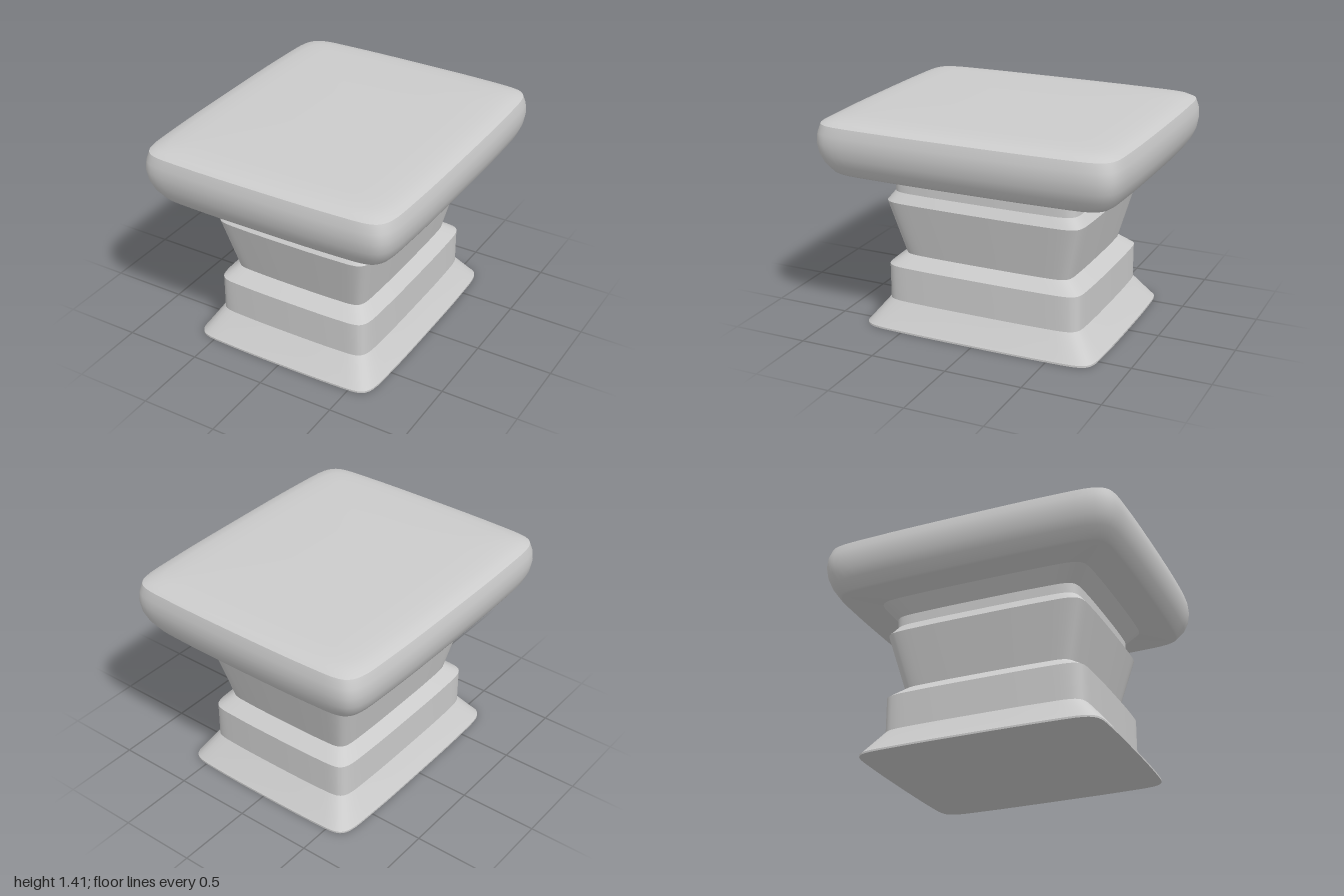
import * as THREE from 'three';
import { toCreasedNormals } from 'three/addons/utils/BufferGeometryUtils.js';

// Unit outline: a slightly bowed rectangle with rounded corners, as fractions of the half sizes
const quarter = [[1, 0], [0.993, 0.6], [0.97, 0.88], [0.93, 0.945], [0.865, 0.976], [0.62, 0.993]];
const corners = [];
for (const [x, z] of quarter) corners.push([x, z]);
corners.push([0, 1]);
for (let i = quarter.length - 1; i > 0; i--) corners.push([-quarter[i][0], quarter[i][1]]);
const half = corners.map(([x, z]) => [-x, -z]);
const outline = new THREE.CatmullRomCurve3(
  [...corners, ...half].map(([x, z]) => new THREE.Vector3(x, 0, z)), true).getPoints(96).slice(0, 96);

// Skins rings of [y, half width, half depth], from bottom to top
function loft(rings, crease) {
  const n = outline.length, positions = [], index = [];
  for (const [y, hx, hz] of rings)
    for (const p of outline) positions.push(p.x * hx, y, p.z * hz);
  for (let j = 0; j < rings.length - 1; j++)
    for (let i = 0; i < n; i++) {
      const k = (i + 1) % n;
      const a = j * n + i, b = a + n, c = (j + 1) * n + k, d = j * n + k;
      if (rings[j + 1][1] > 0) index.push(a, b, c);
      if (rings[j][1] > 0) index.push(a, c, d);
    }
  const geometry = new THREE.BufferGeometry();
  geometry.setAttribute('position', new THREE.Float32BufferAttribute(positions, 3));
  geometry.setIndex(index);
  return toCreasedNormals(geometry, crease);
}

export function createModel() {
  const group = new THREE.Group();
  const material = new THREE.MeshStandardMaterial({ color: 0xcccccc });
  const add = (name, geometry) => {
    const mesh = new THREE.Mesh(geometry, material);
    mesh.name = name;
    group.add(mesh);
  };

  // Pedestal: flared foot, plinth, tapered waist and neck
  const pedestal = [
    [0, 0, 0], [0, 0.648, 0.797], [0.012, 0.648, 0.797], [0.025, 0.638, 0.785],
    [0.17, 0.545, 0.67], [0.4, 0.545, 0.67], [0.47, 0.47, 0.577],
    [0.83, 0.548, 0.673], [0.89, 0.51, 0.628], [0.955, 0.51, 0.628], [1.055, 0.582, 0.715],
  ];
  add('pedestal', loft(pedestal, 0.45));

  // Cushion seat: same depth margin at every level, softly crowned top
  const cushion = [
    [1.05, 0.78], [1.06, 0.793], [1.12, 0.833], [1.18, 0.856], [1.25, 0.866], [1.31, 0.861],
    [1.365, 0.845], [1.385, 0.81], [1.397, 0.75], [1.403, 0.66], [1.406, 0.5],
  ].map(([y, h]) => [y, h, h + 0.134]);
  add('cushion', loft([[1.05, 0, 0], ...cushion, [1.407, 0, 0]], 0.75));

  return group;
}
